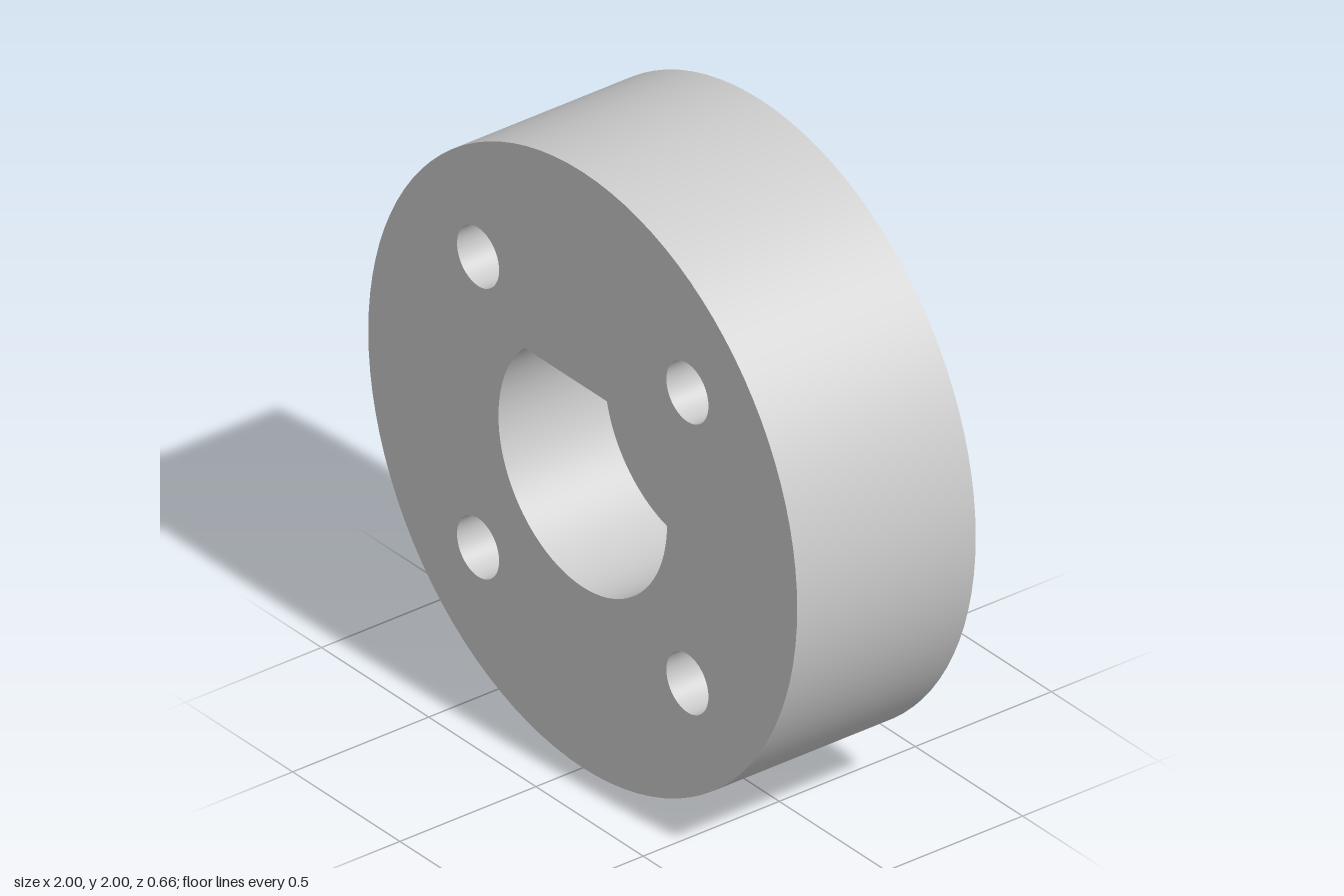
import * as THREE from 'three';

const R = 1, HALF = 0.328;               // disc radius, half thickness
const HOLE_R = 0.098, HOLE_AT = 0.488;   // bolt holes
const POCKET_R = 0.393, FLAT_Y = 0.283;  // D-shaped pocket
const FLOOR_Z = HALF - 0.39;
const CORNERS = [[1, 1], [-1, 1], [-1, -1], [1, -1]];

// Open tube wall along z, facing outward or (inward = true) toward its axis
function wall(r, z0, z1, segments, inward = false, start = 0, length = Math.PI * 2) {
  const g = new THREE.CylinderGeometry(r, r, z1 - z0, segments, 1, true, start, length);
  g.rotateX(Math.PI / 2).translate(0, 0, (z0 + z1) / 2);
  if (inward) {
    g.index.array.reverse();
    const n = g.attributes.normal.array;
    for (let i = 0; i < n.length; i++) n[i] = -n[i];
  }
  return g;
}

// Circle with one flat on top
function pocketOutline(PathType) {
  const a = Math.asin(FLAT_Y / POCKET_R);
  const p = new PathType();
  p.absarc(0, 0, POCKET_R, a, Math.PI - a, true);
  p.closePath();
  return p;
}

// Round face pierced by the four bolt holes
function faceShape() {
  const s = new THREE.Shape();
  s.absarc(0, 0, R, 0, Math.PI * 2);
  for (const [sx, sy] of CORNERS) {
    const hole = new THREE.Path();
    hole.absarc(sx * HOLE_AT, sy * HOLE_AT, HOLE_R, 0, Math.PI * 2, true);
    s.holes.push(hole);
  }
  return s;
}

export function createModel() {
  const group = new THREE.Group();
  group.name = 'flangedHub';
  const material = new THREE.MeshStandardMaterial({ color: 0xcccccc });
  const add = (name, geometry) => {
    const mesh = new THREE.Mesh(geometry, material);
    mesh.name = name;
    mesh.position.y += R;
    group.add(mesh);
    return mesh;
  };

  add('rim', wall(R, -HALF, HALF, 96));

  // Front face, also cut by the pocket
  const front = faceShape();
  front.holes.push(pocketOutline(THREE.Path));
  add('frontFace', new THREE.ShapeGeometry(front, 48).translate(0, 0, HALF));
  add('backFace', new THREE.ShapeGeometry(faceShape(), 48).rotateY(Math.PI).translate(0, 0, -HALF));

  // Through holes
  for (const [sx, sy] of CORNERS) {
    add('boltHole', wall(HOLE_R, -HALF, HALF, 96, true).translate(sx * HOLE_AT, sy * HOLE_AT, 0));
  }

  // Blind pocket: curved wall, flat and floor
  const half = Math.PI - Math.acos(FLAT_Y / POCKET_R);
  add('pocketWall', wall(POCKET_R, FLOOR_Z, HALF, 96, true, -half, half * 2));
  const flatWidth = 2 * Math.sqrt(POCKET_R ** 2 - FLAT_Y ** 2);
  add('pocketFlat', new THREE.PlaneGeometry(flatWidth, HALF - FLOOR_Z)
    .rotateX(Math.PI / 2).translate(0, FLAT_Y, (HALF + FLOOR_Z) / 2));
  add('pocketFloor', new THREE.ShapeGeometry(pocketOutline(THREE.Shape), 48).translate(0, 0, FLOOR_Z));

  return group;
}
